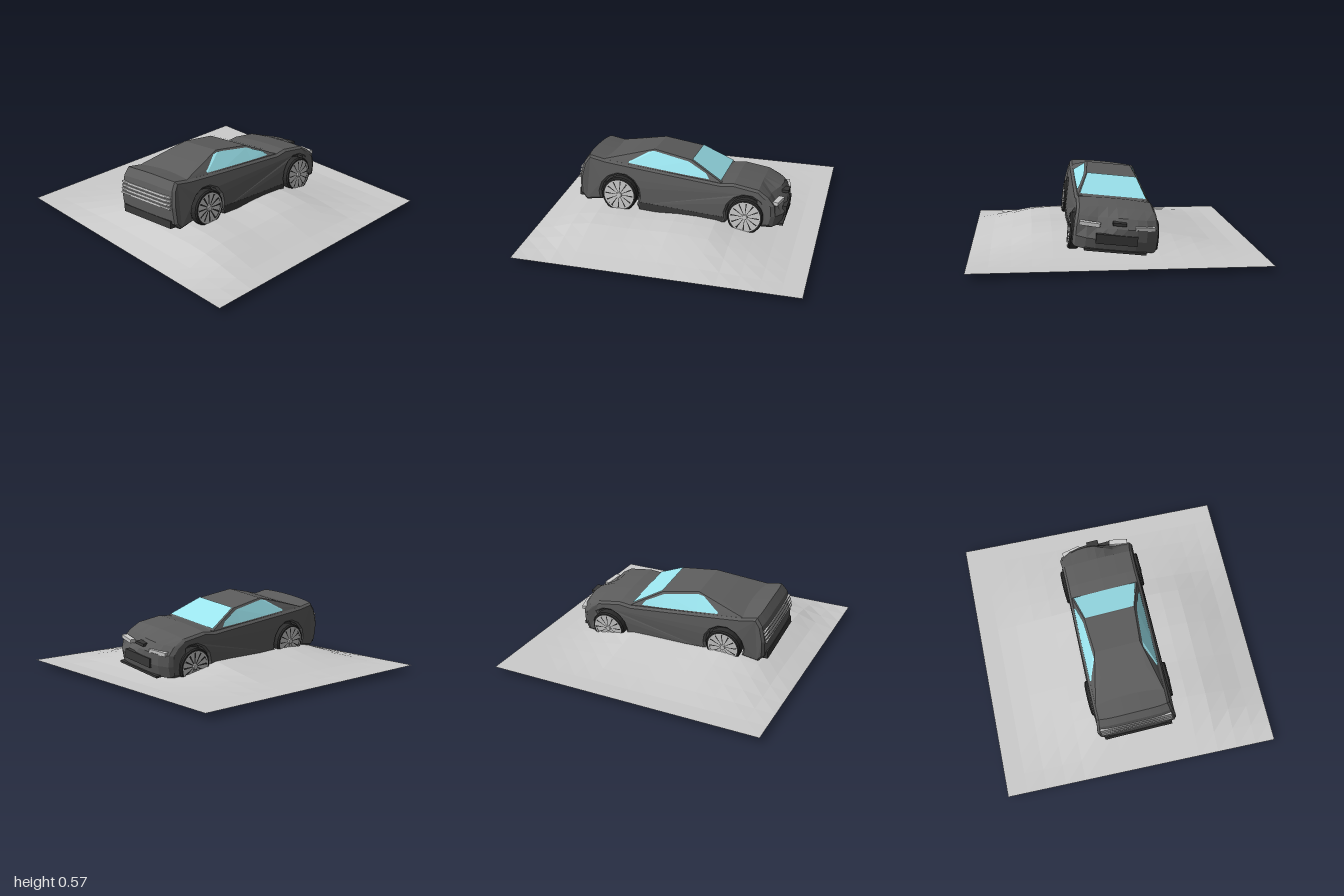
import * as THREE from 'three';
import { ConvexGeometry } from 'three/addons/geometries/ConvexGeometry.js';

const mat = (color, side = THREE.FrontSide) =>
  new THREE.MeshStandardMaterial({ color, side, flatShading: true });
const grey = mat(0xcccccc), groundMat = mat(0xcccccc, THREE.DoubleSide);
const paint = mat(0x5c5c5c), dark = mat(0x383838), rubber = mat(0x2c2c2c);
const glass = mat(0x9be4ee, THREE.DoubleSide);

function add(parent, name, geometry, material, x = 0, y = 0, z = 0) {
  const m = new THREE.Mesh(geometry, material);
  m.name = name;
  m.position.set(x, y, z);
  parent.add(m);
  return m;
}
const box = (w, h, d) => new THREE.BoxGeometry(w, h, d);

// Piecewise linear profile
function interp(pts, v) {
  for (let i = 1; i < pts.length; i++) {
    if (v <= pts[i][0]) {
      const [a, b] = [pts[i - 1], pts[i]];
      return THREE.MathUtils.mapLinear(v, a[0], b[0], a[1], b[1]);
    }
  }
  return pts[pts.length - 1][1];
}

// Strip of quads between two rows of points
function strip(low, high) {
  const pos = [], idx = [];
  low.forEach((p, i) => {
    pos.push(...p, ...high[i]);
    if (i) idx.push(2 * i - 2, 2 * i, 2 * i - 1, 2 * i - 1, 2 * i, 2 * i + 1);
  });
  const g = new THREE.BufferGeometry();
  g.setAttribute('position', new THREE.Float32BufferAttribute(pos, 3));
  g.setIndex(idx);
  g.computeVertexNormals();
  return g;
}

// Square sheet of land swelling into a low mound
function groundGeometry() {
  const fx = [[-1, 0], [-0.8, 0.02], [-0.57, 0.4], [-0.28, 0.9], [-0.1, 1], [0.45, 1], [0.6, 0.87], [0.86, 0.25], [1, 0]];
  const fz = [[-1, 0], [-0.8, 0], [-0.6, 0.3], [-0.45, 0.55], [-0.28, 0.9], [0, 1], [0.5, 1], [0.68, 0.85], [0.86, 0.3], [1, 0]];
  const g = new THREE.PlaneGeometry(2, 2, 14, 14).rotateX(-Math.PI / 2);
  const p = g.attributes.position;
  for (let i = 0; i < p.count; i++) {
    const f = interp(fx, p.getX(i)) * interp(fz, p.getZ(i));
    p.setY(i, 0.048 + f * (0.11 + 0.006 * Math.sin(i * 12.9)));
  }
  g.computeVertexNormals();
  return g;
}

const AXLES = [0.44, -0.49];

// Side outline with wheel arches, extruded across and then shaped by rule
function bodyGeometry() {
  const outline = [[-0.74, -0.05], [-0.755, 0.03], [-0.75, 0.11], [-0.7, 0.16], [-0.56, 0.198], [-0.38, 0.215],
    [-0.29, 0.2], [0.41, 0.225], [0.57, 0.232], [0.71, 0.248], [0.745, 0.19], [0.762, 0.08], [0.75, -0.04], [0.69, -0.088]]
    .reverse();
  const arch = (z) => Array.from({ length: 10 }, (_, i) => {
    const a = THREE.MathUtils.degToRad(-25 + i * 230 / 9);
    return [z + 0.145 * Math.cos(a), 0.145 * Math.sin(a)];
  });
  const pts = [...outline, ...arch(AXLES[1]).reverse(), [-0.34, -0.09], [0.29, -0.09], ...arch(AXLES[0]).reverse()];
  const W = 0.287, bevel = 0.016;
  const g = new THREE.ExtrudeGeometry(new THREE.Shape(pts.map(([z, y]) => new THREE.Vector2(z, y))), {
    depth: 2 * (W - bevel), steps: 8, bevelEnabled: true, bevelSegments: 1,
    bevelSize: 0.014, bevelOffset: -0.014, bevelThickness: bevel,
  });
  g.translate(0, 0, bevel - W).rotateY(-Math.PI / 2);
  const p = g.attributes.position;
  for (let i = 0; i < p.count; i++) {
    let [x, y, z] = [p.getX(i), p.getY(i), p.getZ(i)];
    const u = Math.abs(x) / W;
    const corner = u ** 4;
    const upper = y > 0.1, nose = z < -0.65;
    // pushed-in dent on one side of the nose
    const dent = nose && upper ? Math.exp(-(((x - 0.14) / 0.1) ** 2)) : 0;
    if (z < -0.63) z += 0.07 * corner;
    if (z > 0.7) z -= 0.015 * corner;
    if (y > 0.15) y += 0.012 * (1 - u * u);
    x *= 1 - 0.6 * Math.max(0, y - 0.1);
    p.setXYZ(i, x, y - 0.02 * dent, z + 0.06 * dent);
  }
  g.computeVertexNormals();
  return g;
}

// Roof and pillars
function cabinGeometry() {
  const half = [[0.25, 0.15, -0.29], [0.25, 0.205, -0.29], [0.185, 0.315, -0.045], [0.165, 0.343, 0.235],
    [0.165, 0.295, 0.41], [0.25, 0.225, 0.41], [0.25, 0.232, 0.6], [0.25, 0.15, 0.6]];
  return new ConvexGeometry(half.flatMap(([x, y, z]) =>
    [new THREE.Vector3(x, y, z), new THREE.Vector3(-x, y, z)]));
}

// Wheel with its outer face towards +x
function makeWheel() {
  const wheel = new THREE.Group();
  wheel.name = 'wheel';
  const R = 0.13;
  const profile = [[0, -0.035], [0.118, -0.035], [R, -0.025], [R, 0.025], [0.122, 0.035], [0.108, 0.035], [0.104, 0.024], [0, 0.024]]
    .map(([r, y]) => new THREE.Vector2(r, y));
  add(wheel, 'tyre', new THREE.LatheGeometry(profile, 20).rotateZ(-Math.PI / 2), rubber);
  const ring = new THREE.RingGeometry(0.1, 0.111, 24).rotateY(Math.PI / 2);
  add(wheel, 'rim', ring, grey, 0.036);
  for (let i = 0; i < 12; i++) {
    const blade = new THREE.CircleGeometry(0.102, 3, i * Math.PI / 6 + 0.05, Math.PI / 6 - 0.1);
    add(wheel, 'spoke', blade.rotateY(Math.PI / 2), grey, 0.031);
  }
  add(wheel, 'hub', new THREE.CylinderGeometry(0.018, 0.022, 0.012, 10).rotateZ(-Math.PI / 2), grey, 0.034);
  return wheel;
}

function makeCar() {
  const car = new THREE.Group();
  car.name = 'car';
  add(car, 'body', bodyGeometry(), paint);
  add(car, 'underbody', box(0.42, 0.19, 1.28), dark, 0, 0.045, 0);
  add(car, 'cabin', cabinGeometry(), paint);

  // Glass
  add(car, 'windscreen', strip(
    [[-0.238, 0.217, -0.283], [0.238, 0.217, -0.283]],
    [[-0.181, 0.32, -0.052], [0.181, 0.32, -0.052]]), glass);
  const low = [[0.252, 0.217, -0.2], [0.252, 0.22, -0.03], [0.252, 0.23, 0.235], [0.25, 0.236, 0.4]];
  const high = [[0.234, 0.25, -0.17], [0.2, 0.305, -0.03], [0.181, 0.334, 0.232], [0.18, 0.289, 0.4]];
  for (const s of [1, -1]) {
    const flip = (row) => row.map(([x, y, z]) => [s * x, y, z]);
    add(car, 'sideWindow', strip(flip(low), flip(high)), glass);
    add(car, 'sideSkirt', box(0.02, 0.055, 0.62), dark, s * 0.278, -0.062, -0.025);

    // Headlight
    const lamp = add(car, 'headlight', box(0.14, 0.026, 0.04), grey, s * 0.185, 0.118, s > 0 ? -0.7 : -0.715);
    lamp.rotation.y = -s * 0.2;

    // Wheels
    for (const z of AXLES) {
      const wheel = makeWheel();
      wheel.position.set(s * 0.27, 0, z);
      if (s < 0) wheel.rotation.y = Math.PI;
      car.add(wheel);
    }
  }

  // Nose and tail fittings
  add(car, 'grille', box(0.28, 0.065, 0.03), dark, 0, 0.035, -0.745);
  add(car, 'hoodScoop', box(0.09, 0.02, 0.05), dark, -0.01, 0.14, -0.725);
  add(car, 'splitter', box(0.42, 0.016, 0.06), dark, 0, -0.046, -0.725);
  add(car, 'rearBumper', box(0.5, 0.055, 0.04), dark, 0, -0.045, 0.735);
  for (let i = 0; i < 4; i++) {
    add(car, 'tailLight', box(0.52, 0.012, 0.02), grey, 0, 0.073 + i * 0.026, 0.754 - i * 0.003);
  }
  return car;
}

export function createModel() {
  const model = new THREE.Group();
  add(model, 'ground', groundGeometry(), groundMat);
  const car = makeCar();
  car.position.set(0.015, 0.2, 0);
  car.rotation.set(-0.065, 0, 0.11);
  model.add(car);
  return model;
}
